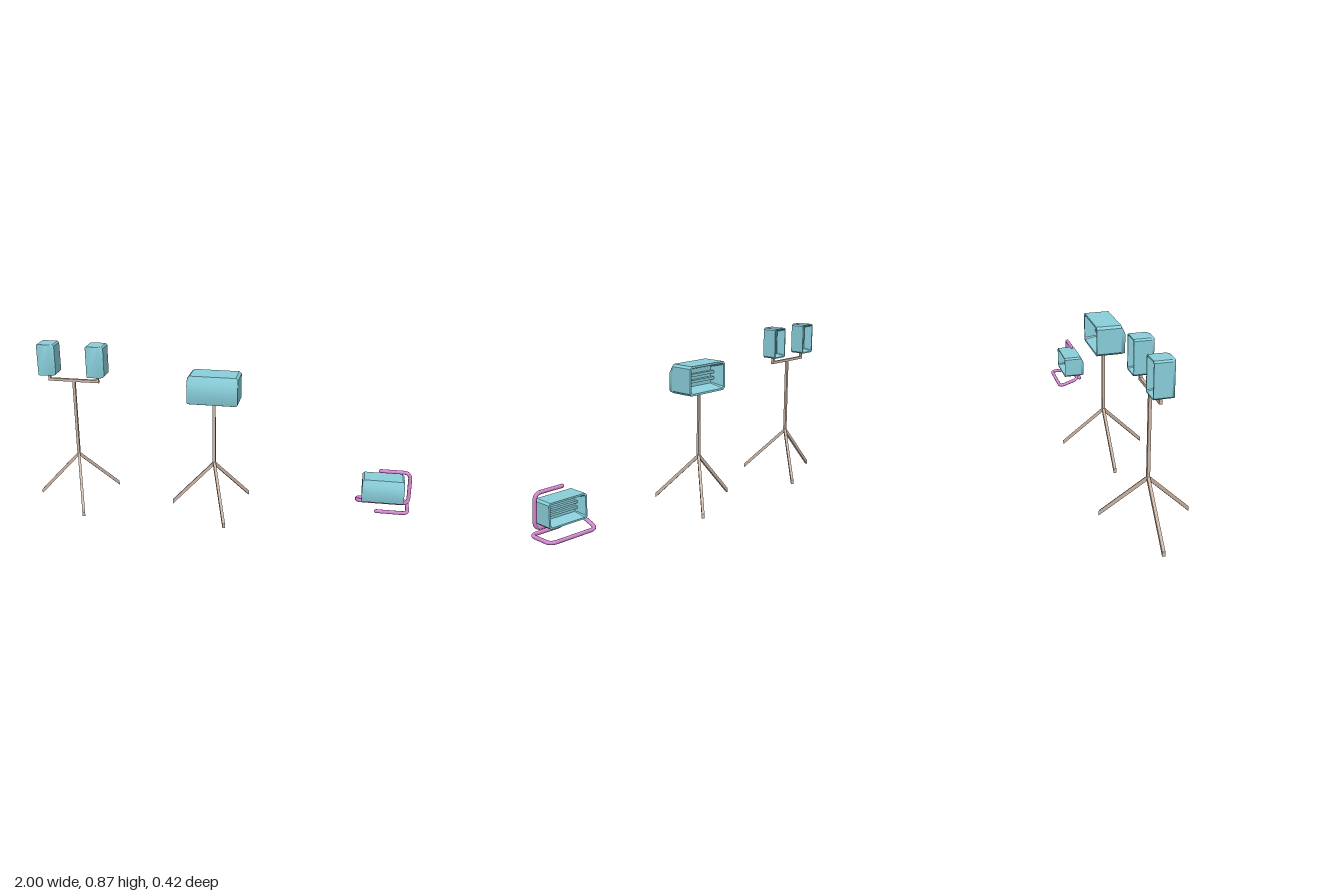
import * as THREE from 'three';
import { toCreasedNormals } from 'three/addons/utils/BufferGeometryUtils.js';

const teal = new THREE.MeshStandardMaterial({ color: 0x8ad0dc });
const tan = new THREE.MeshStandardMaterial({ color: 0xcdb7a7 });
const pink = new THREE.MeshStandardMaterial({ color: 0xd888d2 });

function add(parent, name, geometry, material, x = 0, y = 0, z = 0) {
  const mesh = new THREE.Mesh(geometry, material);
  mesh.name = name;
  mesh.position.set(x, y, z);
  parent.add(mesh);
  return mesh;
}

function box(parent, name, material, size, at) {
  return add(parent, name, new THREE.BoxGeometry(...size), material, ...at);
}

// Rectangle with cut corners, counterclockwise seen from the front
function ring(hw, y0, y1, c, z) {
  return [
    [hw, y0 + c], [hw, y1 - c], [hw - c, y1], [-hw + c, y1],
    [-hw, y1 - c], [-hw, y0 + c], [-hw + c, y0], [hw - c, y0],
  ].map(([x, y]) => new THREE.Vector3(x, y, z));
}

// Skin between successive rings, with optional caps on the ends
function loft(rings, capStart, capEnd, crease) {
  const points = [];
  const n = rings[0].length;
  for (let r = 0; r < rings.length - 1; r++) {
    const a = rings[r], b = rings[r + 1];
    for (let i = 0; i < n; i++) {
      const j = (i + 1) % n;
      points.push(a[i], a[j], b[j], a[i], b[j], b[i]);
    }
  }
  const first = rings[0], last = rings[rings.length - 1];
  for (let i = 1; i < n - 1; i++) {
    if (capStart) points.push(first[0], first[i + 1], first[i]);
    if (capEnd) points.push(last[0], last[i], last[i + 1]);
  }
  return toCreasedNormals(new THREE.BufferGeometry().setFromPoints(points), crease);
}

// Lamp housing: hollow at the back, sloped front edges, bars in the recess
function lamp(name, scale, x, y, z, turn = 0) {
  const g = new THREE.Group();
  g.name = name;
  const shoulder = ring(0.13, -0.075, 0.075, 0.012, 0.0535);
  add(g, 'housing', loft([
    ring(0.1, -0.045, 0.045, 0.004, 0.0),
    ring(0.12, -0.065, 0.065, 0.008, -0.0715),
    ring(0.13, -0.075, 0.075, 0.012, -0.0715),
    shoulder,
  ], true, false, 0.6), teal);
  add(g, 'frontCover', loft([
    shoulder,
    ring(0.13, -0.068, 0.035, 0.005, 0.0715),
  ], false, true, 1.25), teal);
  for (const s of [-1, 1]) box(g, 'lampBar', teal, [0.205, 0.014, 0.02], [0, s * 0.016, -0.01]);
  g.scale.setScalar(scale);
  g.rotation.z = turn;
  g.position.set(x, y, z);
  return g;
}

// Square pole on three sloping legs with upright-cut ends
function tripod(x, height) {
  const g = new THREE.Group();
  g.name = 'tripod';
  g.position.set(x, 0, -0.025);
  const base = 0.25;
  box(g, 'pole', tan, [0.014, height - base, 0.014], [0, (height + base) / 2, 0]);
  for (const [fx, fz] of [[-0.228, 0], [0.09, 0.229], [0.16, -0.18]]) {
    const length = Math.hypot(fx, fz);
    const geo = new THREE.BoxGeometry(length, 0.024, 0.014).translate(length / 2, 0, 0);
    const p = geo.attributes.position;
    for (let i = 0; i < p.count; i++) {
      p.setY(i, p.getY(i) + THREE.MathUtils.lerp(0.258, 0.012, p.getX(i) / length));
    }
    geo.computeVertexNormals();
    add(g, 'leg', geo, tan).rotation.y = Math.atan2(-fz, fx);
  }
  return g;
}

// Path through corner points, each corner rounded off
function roundedPath(corners, radius) {
  const pts = corners.map((c) => new THREE.Vector3(...c));
  const path = new THREE.CurvePath();
  let from = pts[0];
  for (let i = 1; i < pts.length - 1; i++) {
    const toward = (q) => {
      const d = q.clone().sub(pts[i]);
      return pts[i].clone().addScaledVector(d, Math.min(radius / d.length(), 0.45));
    };
    const enter = toward(pts[i - 1]), leave = toward(pts[i + 1]);
    path.add(new THREE.LineCurve3(from, enter));
    path.add(new THREE.QuadraticBezierCurve3(enter, pts[i], leave));
    from = leave;
  }
  path.add(new THREE.LineCurve3(from, pts[pts.length - 1]));
  return path;
}

export function createModel() {
  const model = new THREE.Group();
  model.name = 'workLights';

  // Twin lamp stand
  const twin = new THREE.Group();
  twin.name = 'twinLight';
  twin.add(tripod(-0.77, 0.675));
  box(twin, 'crossbar', tan, [0.276, 0.014, 0.014], [-0.77, 0.674, -0.025]);
  for (const x of [-0.902, -0.64]) {
    box(twin, 'lampPost', tan, [0.012, 0.035, 0.014], [x, 0.692, -0.025]);
    twin.add(lamp('uprightLamp', 0.635, x, 0.788, -0.026, -Math.PI / 2));
  }
  model.add(twin);

  // Single lamp stand
  const single = new THREE.Group();
  single.name = 'singleLight';
  single.add(tripod(-0.022, 0.603));
  single.add(lamp('wideLamp', 1, -0.02, 0.675, -0.0185));
  model.add(single);

  // Floor lamp held in a bent tube frame
  const floor = new THREE.Group();
  floor.name = 'floorLight';
  floor.add(lamp('floorLamp', 0.81, 0.858, 0.194, 0.001));
  const bends = [
    [0.84, 0.293, 0.007], [0.988, 0.293, 0.007], [0.988, 0.126, 0.018],
    [0.732, 0.124, 0.016], [0.732, 0.088, -0.094], [0.988, 0.088, -0.094],
    [0.988, 0.088, 0.052], [0.83, 0.088, 0.052],
  ];
  add(floor, 'tubeFrame', new THREE.TubeGeometry(roundedPath(bends, 0.035), 220, 0.0095, 12), pink);
  for (const end of [bends[0], bends[bends.length - 1]]) {
    add(floor, 'tubeEnd', new THREE.SphereGeometry(0.0095, 12, 8), pink, ...end);
  }
  model.add(floor);

  return model;
}
